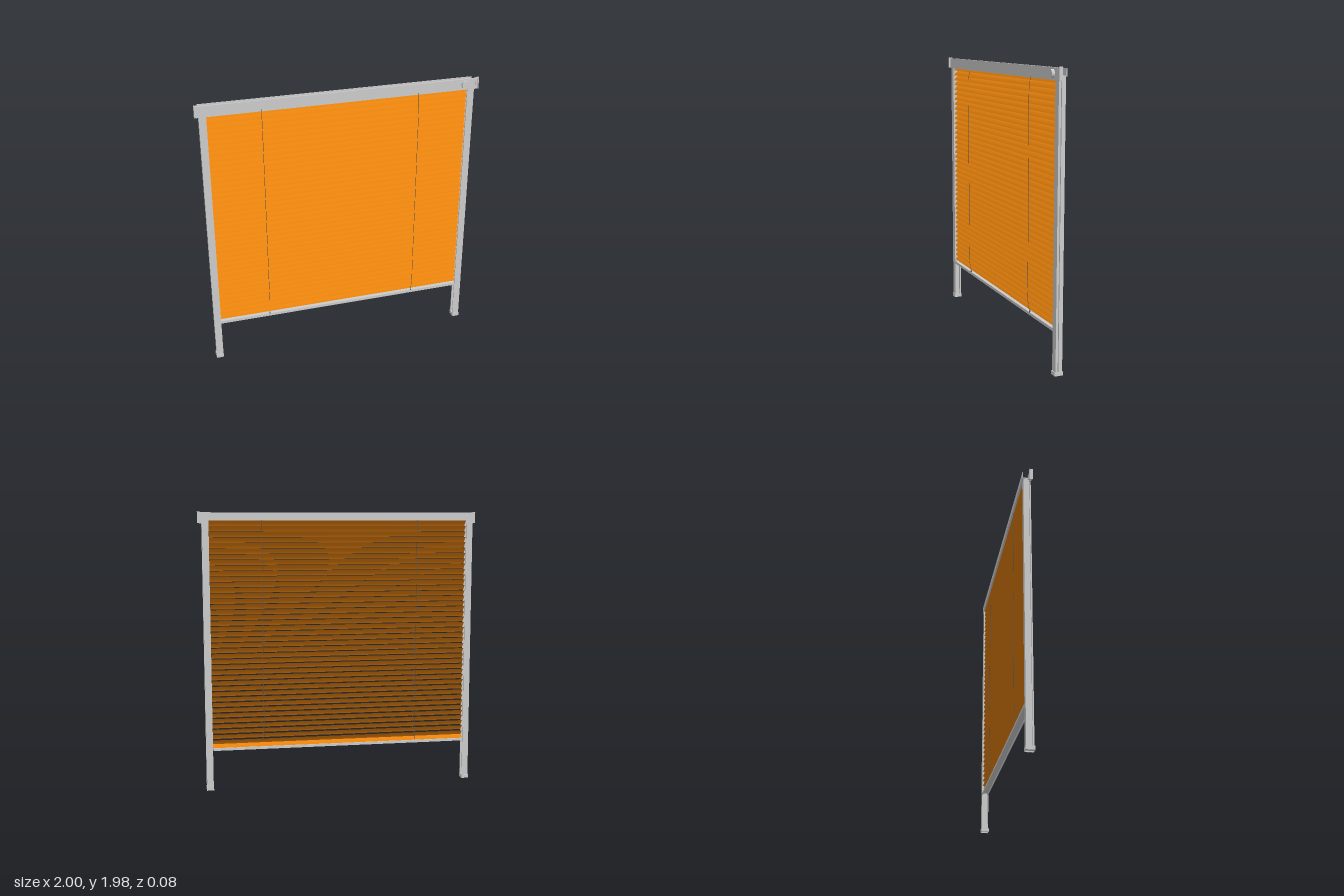
import * as THREE from 'three';

const metal = new THREE.MeshStandardMaterial({ color: 0xcccccc });
metal.name = 'light grey metal';
const slatOrange = new THREE.MeshStandardMaterial({ color: 0xe8820c, side: THREE.DoubleSide });
slatOrange.name = 'orange slat';
const cordGrey = new THREE.MeshStandardMaterial({ color: 0x55585c });
cordGrey.name = 'dark cord';

// Box given by its limits on each axis
function box(parent, name, [x0, x1], [y0, y1], [z0, z1], mat = metal) {
  const mesh = new THREE.Mesh(new THREE.BoxGeometry(x1 - x0, y1 - y0, z1 - z0), mat);
  mesh.position.set((x0 + x1) / 2, (y0 + y1) / 2, (z0 + z1) / 2);
  mesh.name = name;
  parent.add(mesh);
  return mesh;
}

// Shape drawn in (x, -z), raised from y0 to y1
function raise(parent, name, shape, y0, y1) {
  const geo = new THREE.ExtrudeGeometry(shape, { depth: y1 - y0, bevelEnabled: false });
  geo.rotateX(-Math.PI / 2).translate(0, y0, 0);
  const mesh = new THREE.Mesh(geo, metal);
  mesh.name = name;
  parent.add(mesh);
}

const polygon = pts => new THREE.Shape(pts.map(([x, z]) => new THREE.Vector2(x, -z)));
const rect = (x0, x1, z0, z1) => polygon([[x0, z0], [x0, z1], [x1, z1], [x1, z0]]);

// Gently cambered slat, turned by its tilt
function slatGeometry(chord, tilt, camber) {
  const geo = new THREE.PlaneGeometry(1.84, chord, 1, 6);
  const p = geo.attributes.position;
  for (let i = 0; i < p.count; i++) {
    const t = (2 * p.getY(i)) / chord;
    p.setZ(i, camber * (1 - t * t));
  }
  geo.rotateX(tilt);
  geo.computeVertexNormals();
  return geo;
}

function cord(parent, name, points) {
  const path = new THREE.CatmullRomCurve3(points.map(p => new THREE.Vector3(...p)));
  const mesh = new THREE.Mesh(new THREE.TubeGeometry(path, 16, 0.0014, 6), cordGrey);
  mesh.name = name;
  parent.add(mesh);
}

function createModel() {
  const blind = new THREE.Group();
  blind.name = 'venetianBlind';

  // Slats, high at the back and low at the front
  const slats = new THREE.Group();
  slats.name = 'slats';
  const slatGeo = slatGeometry(0.0545, -0.81, 0.004);
  for (let i = 0; i < 41; i++) {
    const slat = new THREE.Mesh(slatGeo, slatOrange);
    slat.name = 'slat';
    slat.position.set(0, 0.345 + i * 0.0387, -0.0125);
    slats.add(slat);
  }
  // Lowest slat rests on the bottom rail, leaning to the back
  const lastSlat = new THREE.Mesh(slatGeometry(0.046, -2.0, -0.002), slatOrange);
  lastSlat.name = 'bottomSlat';
  lastSlat.position.set(0, 0.318, -0.0155);
  slats.add(lastSlat);
  blind.add(slats);

  // Bottom rail: a trough open underneath
  const rail = new THREE.Group();
  rail.name = 'bottomRail';
  box(rail, 'railTop', [-0.92, 0.92], [0.301, 0.306], [-0.037, 0.01]);
  box(rail, 'railFront', [-0.92, 0.92], [0.288, 0.308], [0.006, 0.01]);
  box(rail, 'railBack', [-0.92, 0.92], [0.288, 0.306], [-0.037, -0.033]);
  blind.add(rail);

  // Head rail: open-topped channel behind a taller front plate
  const head = new THREE.Group();
  head.name = 'headRail';
  box(head, 'channelFloor', [-0.97, 0.97], [1.915, 1.92], [-0.043, 0.004]);
  box(head, 'channelBack', [-0.97, 0.97], [1.915, 1.965], [-0.043, -0.039]);
  box(head, 'frontPlate', [-0.985, 0.985], [1.89, 1.968], [0.002, 0.012]);
  blind.add(head);

  // Knob on the front plate
  const knob = new THREE.Group();
  knob.name = 'knob';
  const knobPart = (name, r, depth, z) => {
    const mesh = new THREE.Mesh(new THREE.CylinderGeometry(r, r, depth, 32), metal);
    mesh.rotation.x = Math.PI / 2;
    mesh.position.z = z;
    mesh.name = name;
    knob.add(mesh);
  };
  knobPart('knobStem', 0.012, 0.01, 0.015);
  knobPart('knobDisc', 0.028, 0.02, 0.028);
  knob.position.set(0.897, 1.931, 0);
  blind.add(knob);

  for (const s of [-1, 1]) {
    const side = s > 0 ? 'left' : 'right';
    const span = (a, b) => (s > 0 ? [a, b] : [-b, -a]);

    // End bracket that wraps the plate end
    const bracket = new THREE.Group();
    bracket.name = side + 'Bracket';
    box(bracket, 'bracketSide', span(0.992, 0.998), [1.893, 1.975], [0, 0.024]);
    box(bracket, 'bracketFace', span(0.976, 0.992), [1.893, 1.972], [0, 0.016]);
    blind.add(bracket);

    // Guide post: front flange, groove on the outer side, slot on the inner side
    const post = new THREE.Group();
    post.name = side + 'Post';
    const profile = [
      [0.92, 0.012], [0.97, 0.012], [0.97, 0.003], [0.957, 0.003],
      [0.957, -0.010], [0.967, -0.010], [0.967, -0.037], [0.922, -0.037],
      [0.922, -0.030], [0.945, -0.030], [0.945, 0.005], [0.92, 0.005],
    ].map(([x, z]) => [s * x, z]);
    raise(post, 'postProfile', polygon(profile), 0.02, 1.917);

    // Hollow foot with a floor
    const foot = rect(...span(0.919, 0.971), -0.041, 0.018);
    foot.holes.push(rect(...span(0.924, 0.966), -0.036, 0.013));
    raise(post, 'footWall', foot, 0, 0.026);
    box(post, 'footFloor', span(0.923, 0.967), [0.008, 0.013], [-0.037, 0.014]);
    blind.add(post);

    // Ladder cords in front of and behind the slats
    const x = s * 0.555;
    cord(blind, side + 'FrontCord', [
      [x, 1.915, 0.01], [x, 1.89, 0.02], [x, 1.8, 0.022], [x, 1.2, 0.023],
      [x, 0.6, 0.022], [x, 0.36, 0.022], [x, 0.315, 0.008],
    ]);
    cord(blind, side + 'BackCord', [[x, 1.917, -0.036], [x, 1.1, -0.036], [x, 0.305, -0.036]]);
    box(blind, side + 'CordStop', [x - 0.004, x + 0.004], [0.308, 0.318], [0.004, 0.012], cordGrey);
  }

  return blind;
}

export { createModel };
